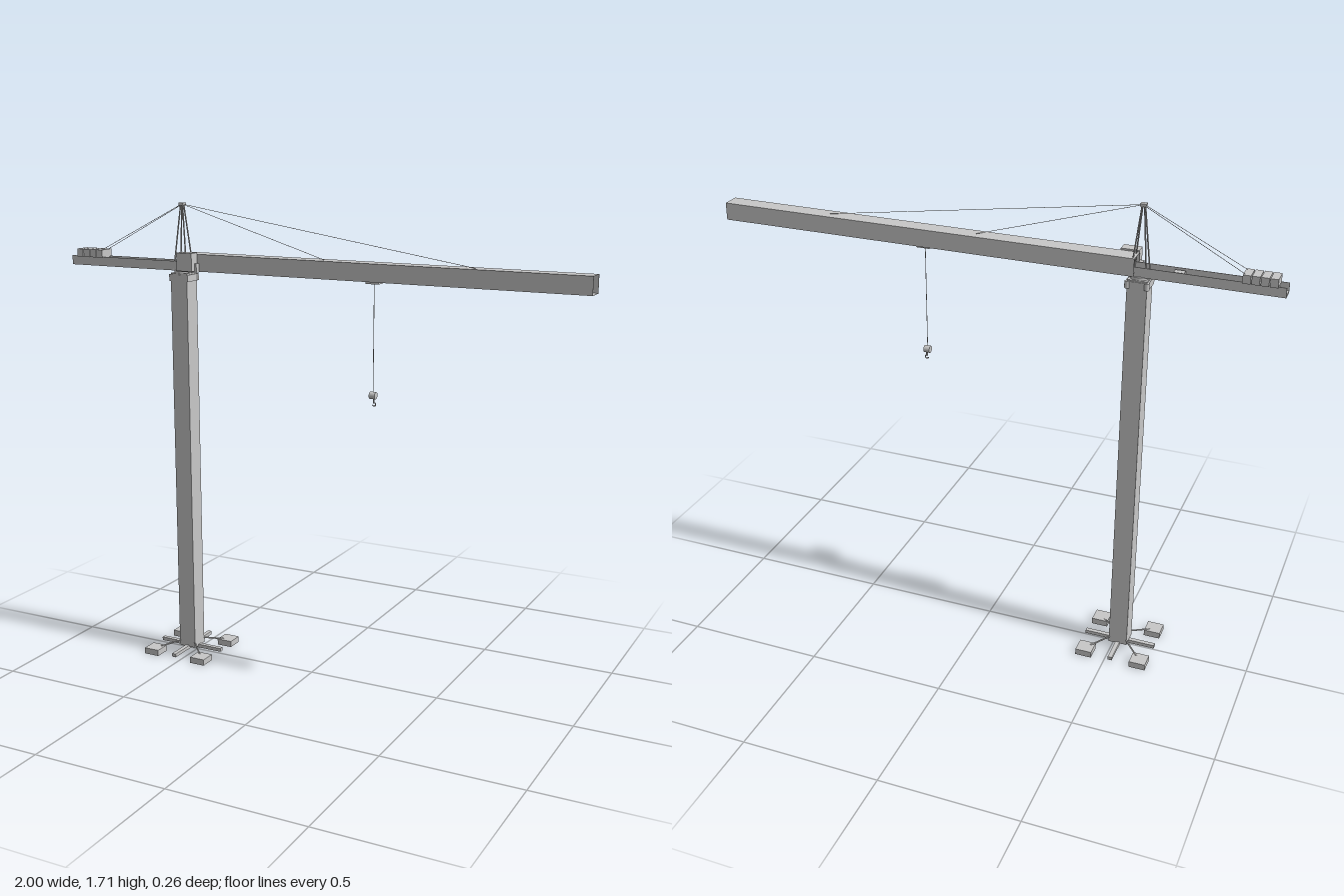
import * as THREE from 'three';

export function createModel() {
  const crane = new THREE.Group();
  crane.name = 'towerCrane';
  const steel = new THREE.MeshStandardMaterial({ color: 0xc8c8c8, side: THREE.DoubleSide });
  steel.name = 'light grey steel';
  const MX = -0.523; // mast axis

  const add = (name, geometry, parent = crane) => {
    const mesh = new THREE.Mesh(geometry, steel);
    mesh.name = name;
    parent.add(mesh);
    return mesh;
  };
  // Box given by its min and max corners
  const box = (name, x0, x1, y0, y1, z0, z1, parent) => {
    const m = add(name, new THREE.BoxGeometry(x1 - x0, y1 - y0, z1 - z0), parent);
    m.position.set((x0 + x1) / 2, (y0 + y1) / 2, (z0 + z1) / 2);
    return m;
  };
  // Straight rod between two points
  const rod = (name, a, b, radius, parent, sides = 6) => {
    const p = new THREE.Vector3(...a), q = new THREE.Vector3(...b);
    const m = add(name, new THREE.CylinderGeometry(radius, radius, p.distanceTo(q), sides), parent);
    m.position.copy(p).add(q).multiplyScalar(0.5);
    m.quaternion.setFromUnitVectors(new THREE.Vector3(0, 1, 0), q.sub(p).normalize());
    return m;
  };
  const group = (name) => {
    const g = new THREE.Group();
    g.name = name;
    crane.add(g);
    return g;
  };

  // Foundation: crossed beams, four ballast pads and diagonal struts
  const base = group('base');
  box('crossBeamX', MX - 0.132, MX + 0.132, 0.01, 0.023, -0.008, 0.008, base);
  box('crossBeamZ', MX - 0.008, MX + 0.008, 0.01, 0.023, -0.132, 0.132, base);
  for (const sx of [-1, 1]) {
    for (const sz of [-1, 1]) {
      const pad = add('footPad', new THREE.BoxGeometry(0.06, 0.023, 0.06), base);
      pad.position.set(MX + sx * 0.102, 0.0115, sz * 0.102);
      rod('footStrut', [MX + sx * 0.03, 0.038, sz * 0.03], [MX + sx * 0.09, 0.021, sz * 0.09], 0.003, base);
    }
  }

  // Mast
  box('mast', MX - 0.034, MX + 0.034, 0.018, 1.462, -0.034, 0.034);

  // Slewing unit with drive motors
  const slew = group('slewingUnit');
  box('slewCollar', MX - 0.039, MX + 0.039, 1.432, 1.457, -0.037, 0.037, slew);
  const ring = add('slewRing', new THREE.CylinderGeometry(0.033, 0.033, 0.014, 24), slew);
  ring.position.set(MX, 1.465, 0);
  for (const s of [-1, 1]) {
    const motor = add('slewMotor', new THREE.CylinderGeometry(0.009, 0.009, 0.024, 10), slew);
    motor.position.set(MX + s * 0.033, 1.445, -0.033);
  }

  // Main jib: hollow square tube, open at the tip
  const jib = group('jib');
  const J0 = -0.51, J1 = 1, T = 0.001;
  box('jibTop', J0, J1, 1.534 - T, 1.534, -0.032, 0.032, jib);
  box('jibBottom', J0, J1, 1.472, 1.472 + T, -0.032, 0.032, jib);
  for (const s of [-1, 1]) {
    const side = add('jibSide', new THREE.BoxGeometry(J1 - J0, 0.062 - 2 * T, T), jib);
    side.position.set((J0 + J1) / 2, 1.503, s * (0.032 - T / 2));
  }

  // Counter jib: open channel with a walkway floor and side railings
  const counter = group('counterJib');
  box('walkway', -1, -0.45, 1.47, 1.478, -0.025, 0.025, counter);
  for (const s of [-1, 1]) {
    const rail = add('sideRailing', new THREE.BoxGeometry(0.55, 0.034, 0.002), counter);
    rail.position.set(-0.725, 1.487, s * 0.024);
  }
  box('winch', -0.67, -0.635, 1.478, 1.5, -0.012, 0.012, counter);

  // Counterweight slabs
  for (let i = 0; i < 4; i++) {
    const x = -0.973 + i * 0.029;
    box('counterweight', x, x + 0.026, 1.501, 1.53, -0.03, 0.03, counter);
    box('counterweightStem', x + 0.003, x + 0.023, 1.478, 1.501, -0.021, 0.021, counter);
  }

  // Operator's cab on a small platform beside the jib root
  const cab = group('cab');
  box('cabBody', -0.508, -0.445, 1.475, 1.54, 0.032, 0.071, cab);
  box('cabPlatform', -0.522, -0.438, 1.47, 1.502, 0.026, 0.05, cab);

  // Tower head: four leaning legs and a cap
  const head = group('towerHead');
  for (const sx of [-1, 1]) {
    for (const sz of [-1, 1]) {
      rod('headLeg', [MX + sx * 0.027, 1.472, sz * 0.023], [MX + sx * 0.004, 1.706, sz * 0.004], 0.0025, head);
    }
  }
  box('headCap', MX - 0.01, MX + 0.01, 1.702, 1.712, -0.009, 0.009, head);

  // Tie ropes
  const ties = group('tieRopes');
  for (const x of [0.05, 0.6]) rod('jibTie', [MX, 1.707, 0], [x, 1.534, 0], 0.0009, ties, 5);
  for (const s of [-1, 1]) rod('counterTie', [MX, 1.707, s * 0.004], [-0.865, 1.53, s * 0.02], 0.0009, ties, 5);

  // Trolley, hoist rope and hook
  const hoist = group('hoist');
  const HX = 0.238;
  box('trolley', HX - 0.024, HX + 0.024, 1.464, 1.472, -0.02, 0.02, hoist);
  rod('hoistRope', [HX, 1.08, 0], [HX, 1.466, 0], 0.0012, hoist, 5);
  const block = add('hookBlock', new THREE.CylinderGeometry(0.013, 0.013, 0.022, 16), hoist);
  block.rotation.z = Math.PI / 2;
  block.position.set(HX, 1.077, 0);
  rod('hookShank', [HX + 0.003, 1.05, 0], [HX + 0.003, 1.066, 0], 0.003, hoist);
  const hook = add('hook', new THREE.TorusGeometry(0.006, 0.0022, 6, 14, Math.PI * 1.4), hoist);
  hook.rotation.z = -Math.PI * 0.9;
  hook.position.set(HX + 0.004, 1.046, 0);

  return crane;
}
